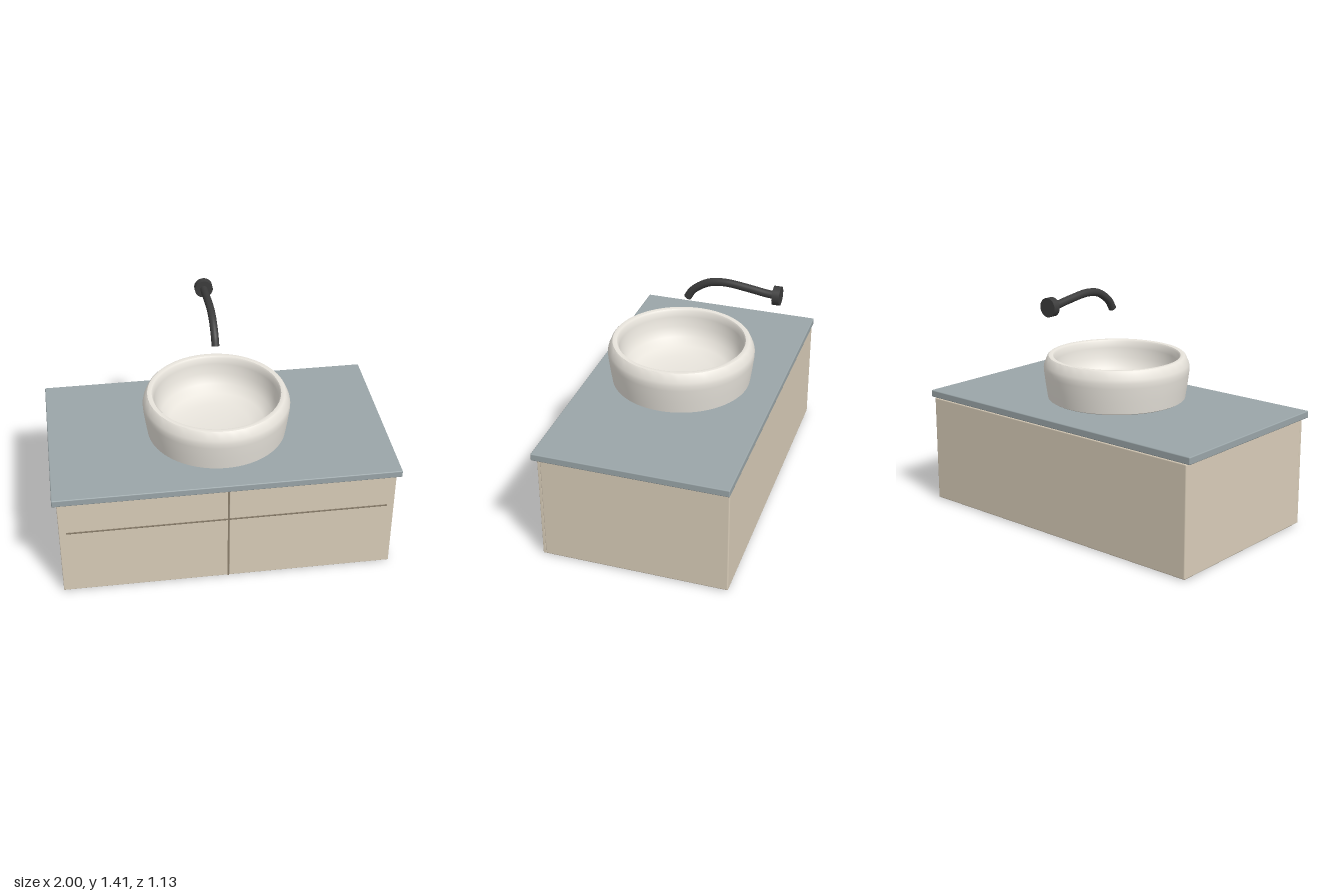
import * as THREE from 'three';
import { RoundedBoxGeometry } from 'three/addons/geometries/RoundedBoxGeometry.js';
import { toCreasedNormals } from 'three/addons/utils/BufferGeometryUtils.js';

const material = (color) => new THREE.MeshStandardMaterial({ color });

export function createModel() {
  const group = new THREE.Group();
  const wood = material(0xd8ccb8);
  const trim = material(0x8c7f6c);
  const stone = material(0x9aa5a8);
  const ceramic = material(0xe8e4dc);
  const metal = material(0x3c3c3c);

  const add = (name, geometry, mat, x = 0, y = 0, z = 0) => {
    const mesh = new THREE.Mesh(geometry, mat);
    mesh.name = name;
    mesh.position.set(x, y, z);
    group.add(mesh);
    return mesh;
  };
  const box = (name, mat, [w, h, d], [x, y, z], r = 0.004) =>
    add(name, new RoundedBoxGeometry(w, h, d, 2, r), mat, x, y, z);

  // Cabinet carcass and stone top
  box('cabinet', wood, [1.95, 0.65, 1.085], [0, 0.33, -0.0175], 0.008);
  box('countertop', stone, [2, 0.043, 1.13], [0, 0.6785, 0], 0.006);

  // Pair of drawer fronts, each with a slim horizontal pull
  for (const [side, s] of [['left', 1], ['right', -1]]) {
    box(side + 'DrawerFront', wood, [0.969, 0.647, 0.018], [s * 0.4895, 0.3305, 0.53], 0.003);
    box(side + 'DrawerPull', trim, [0.929, 0.012, 0.012], [s * 0.4685, 0.438, 0.535], 0.002);
  }
  add('centreStrip', new THREE.BoxGeometry(0.01, 0.655, 0.014), trim, 0, 0.3275, 0.529);

  // Vessel basin: outside from the foot up, over the rim, down the bowl
  const outside = [[0, 0.7], [0.26, 0.7], [0.4, 0.72], [0.41, 0.726], [0.421, 0.8],
    [0.431, 0.88], [0.433, 0.91], [0.429, 0.93], [0.411, 0.972], [0.404, 0.979]];
  const inside = [[0.392, 0.981], [0.378, 0.978], [0.37, 0.968], [0.366, 0.93], [0.355, 0.87],
    [0.33, 0.81], [0.28, 0.77], [0.2, 0.75], [0.1, 0.742], [0, 0.74]];
  const profile = [...outside, ...inside].map(([r, y]) => new THREE.Vector2(r, y));
  add('basin', toCreasedNormals(new THREE.LatheGeometry(profile, 72), 0.6), ceramic, 0, 0, 0.02);

  // Wall spout: round plate and curved pipe
  const plate = add('spoutPlate', new THREE.CylinderGeometry(0.054, 0.054, 0.042, 32), metal, 0, 1.35, -0.544);
  plate.rotation.x = Math.PI / 2;
  const path = new THREE.CatmullRomCurve3(
    [[1.35, -0.54], [1.355, -0.48], [1.37, -0.385], [1.386, -0.24], [1.374, -0.15],
      [1.34, -0.085], [1.305, -0.045], [1.262, -0.019]].map(([y, z]) => new THREE.Vector3(0, y, z)));
  add('spoutPipe', new THREE.TubeGeometry(path, 48, 0.0225, 20), metal);

  // Closed pipe tip
  const tip = add('spoutTip', new THREE.CircleGeometry(0.0225, 20), metal);
  tip.position.copy(path.getPoint(1));
  tip.quaternion.setFromUnitVectors(new THREE.Vector3(0, 0, 1), path.getTangent(1));

  return group;
}
